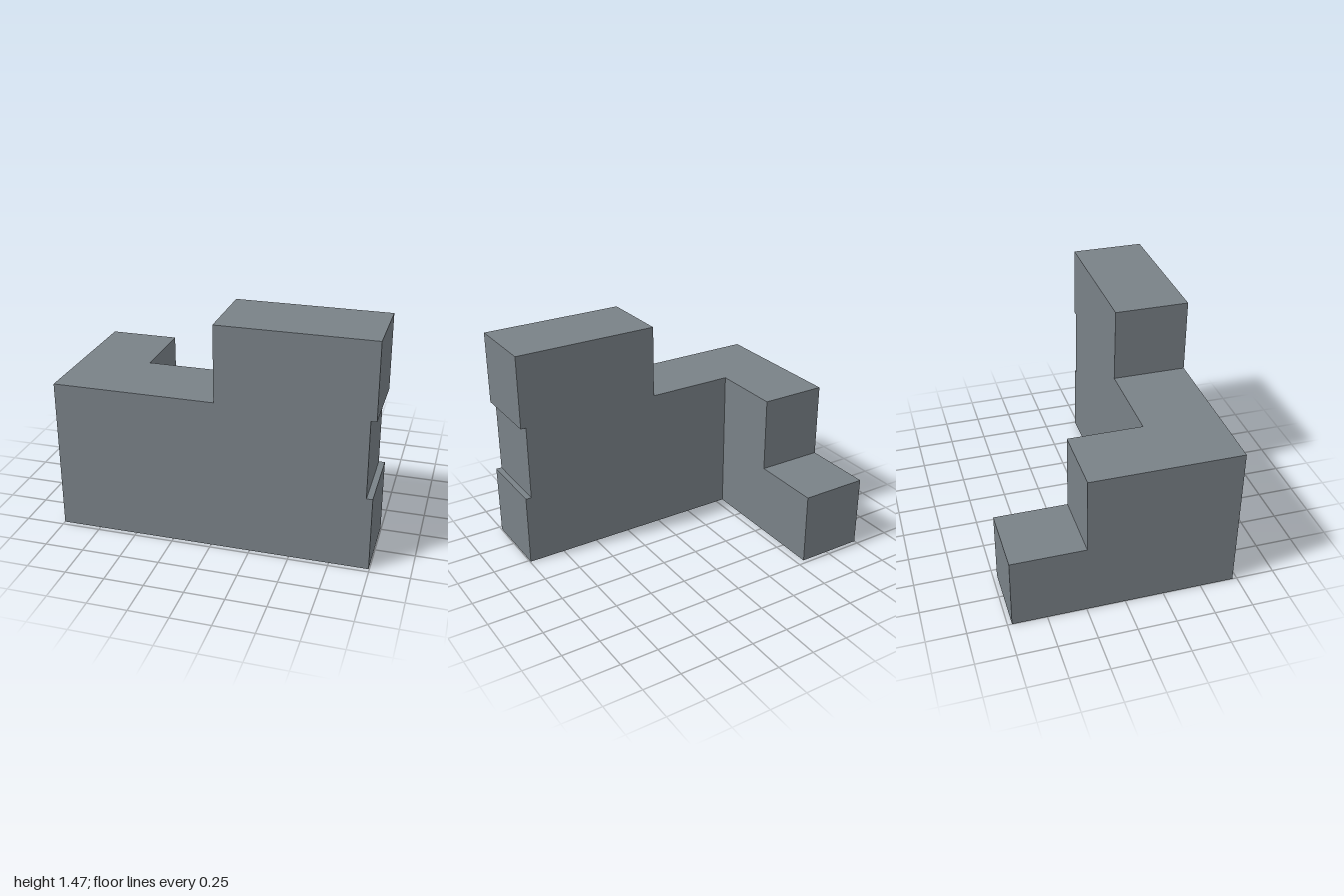
import * as THREE from 'three';

// Solid prism from a side profile, extruded along +z
function prism(points, depth) {
  const shape = new THREE.Shape(points.map(([x, y]) => new THREE.Vector2(x, y)));
  return new THREE.ExtrudeGeometry(shape, { depth, bevelEnabled: false });
}

export function createModel() {
  const group = new THREE.Group();
  group.name = 'steppedCornerBlock';
  const slate = new THREE.MeshStandardMaterial({ color: 0x798187 });
  slate.name = 'slateGrey';

  // Front wing: raised at the left, with a shallow notch in its end
  const front = prism([
    [-1, 0], [0.995, 0], [0.995, 0.48], [0.957, 0.48], [0.957, 0.98],
    [0.992, 0.98], [0.992, 1.465], [0.027, 1.465], [0.027, 0.98], [-1, 0.98],
  ], 0.487);
  front.translate(0, 0, 0.233);
  const frontWing = new THREE.Mesh(front, slate);
  frontWing.name = 'frontWing';

  // Side wing: runs backwards and steps down, profile drawn in (-z, y)
  const side = prism([
    [-0.233, 0], [0.722, 0], [0.722, 0.48], [0.248, 0.48], [0.248, 0.98], [-0.233, 0.98],
  ], 0.446);
  side.rotateY(Math.PI / 2).translate(-1, 0, 0);
  const sideWing = new THREE.Mesh(side, slate);
  sideWing.name = 'sideWing';

  group.add(frontWing, sideWing);
  return group;
}
